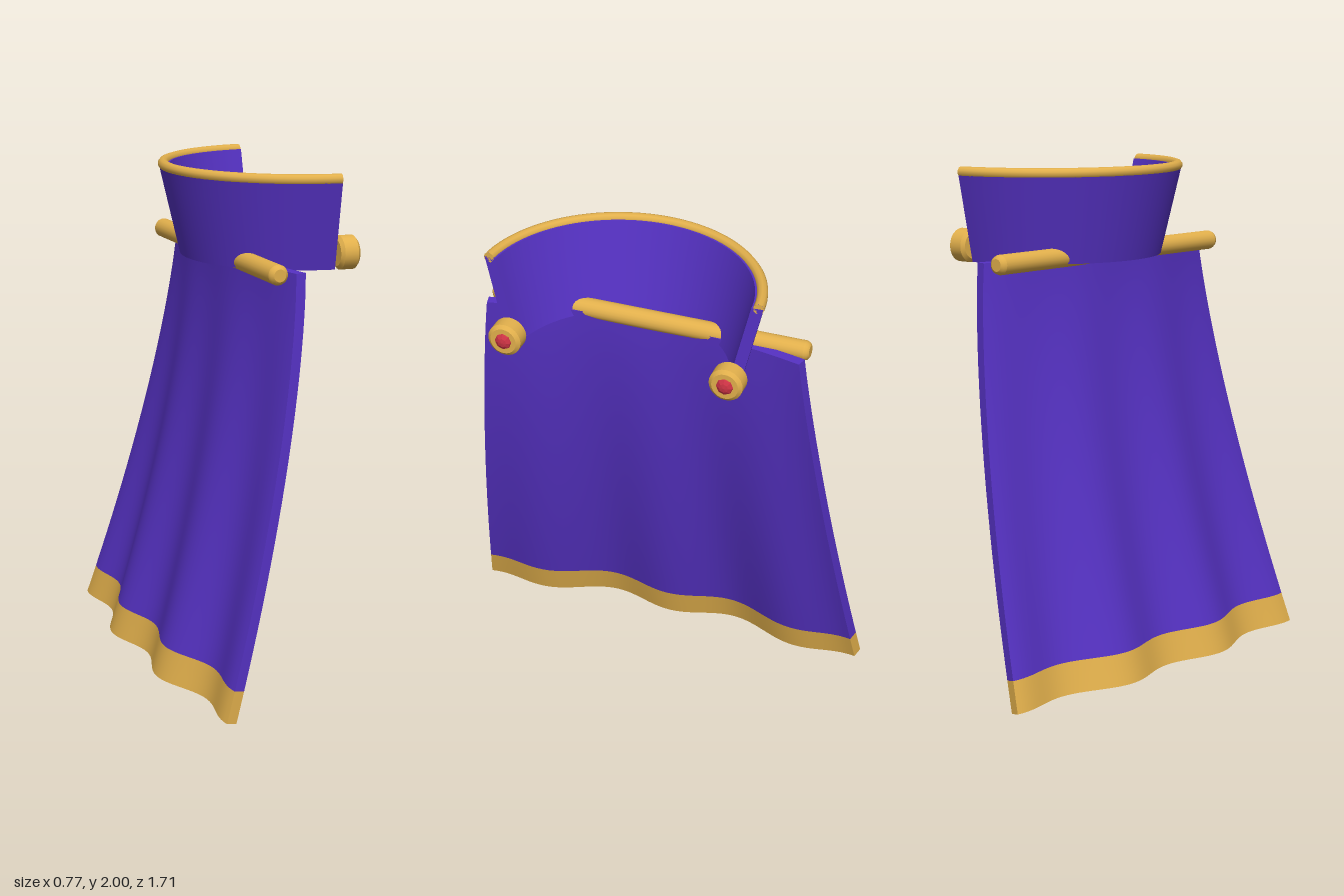
import * as THREE from 'three';

const material = (name, color) => {
  const m = new THREE.MeshStandardMaterial({ color });
  m.name = name;
  return m;
};

// Reshape a unit box by a rule; each box side keeps its own smooth normals.
function bentBox(segments, rule) {
  const g = new THREE.BoxGeometry(1, 1, 1, ...segments);
  const p = g.attributes.position;
  for (let i = 0; i < p.count; i++) {
    p.setXYZ(i, ...rule(p.getX(i) + 0.5, p.getY(i) + 0.5, p.getZ(i) * 2));
  }
  g.computeVertexNormals();
  return g;
}

// Solid turned from (radius, height) pairs, with crisp bevels.
function turned(pairs, sides) {
  const points = pairs.map(([r, y]) => new THREE.Vector2(r, y));
  return new THREE.LatheGeometry(points, sides);
}

export function createModel() {
  const model = new THREE.Group();
  const purple = material('purple cloth', 0x5632c4);
  const gold = material('gold', 0xe2b04c);
  const red = material('red gem', 0xcc3344);

  const add = (name, geometry, mat, parent = model) => {
    const mesh = new THREE.Mesh(geometry, mat);
    mesh.name = name;
    parent.add(mesh);
    return mesh;
  };

  // Cape: sweeps backwards, wraps the shoulders, folds deepen downwards.
  const capePanel = (t0, t1, rows) => bentBox([1, rows, 64], (front, up, s) => {
    const t = t1 + (t0 - t1) * up;
    const centre = -0.04 - 0.322 * Math.pow(t, 1.5);
    const fold = 0.033 * t * Math.cos(3 * Math.PI * s);
    return [
      centre + 0.083 * s * s + fold + 0.042 * front,
      1.652 * (1 - t) + 0.01 * t * (1 - front),
      s * (0.647 + 0.21 * t) * (1 - 0.015 * front),
    ];
  });
  const hemStart = 0.928;
  add('cape', capePanel(0, hemStart, 20), purple);
  add('capeHem', capePanel(hemStart, 1, 3), gold);

  // Standing collar: a flared arc, open at the front.
  const collarX = 0.317, halfAngle = 1.49;
  const arcPoint = (r, y, s) => [
    collarX - r * Math.cos(s * halfAngle), y, r * Math.sin(s * halfAngle),
  ];
  add('collar', bentBox([1, 4, 48], (inner, up, s) =>
    arcPoint(0.467 + 0.083 * up - 0.045 * inner, 1.625 + 0.355 * up, s)), purple);

  // Gold piping on the collar's upper edge, with closed ends.
  const rimPoints = [];
  for (let i = 0; i <= 32; i++) {
    rimPoints.push(new THREE.Vector3(...arcPoint(0.532, 1.979, i / 16 - 1)));
  }
  add('collarTrim', new THREE.TubeGeometry(
    new THREE.CatmullRomCurve3(rimPoints), 64, 0.021, 10), gold);
  for (const s of [-1, 1]) {
    const cap = add('collarTrimEnd', new THREE.CircleGeometry(0.021, 10), gold);
    cap.position.set(...arcPoint(0.532, 1.979, s));
    cap.rotation.y = Math.PI / 2 + s * (halfAngle - Math.PI / 2);
  }

  // Shoulder rod with bevelled ends.
  const rod = add('shoulderRod', turned([
    [0, -0.65], [0.024, -0.65], [0.024, -0.65], [0.034, -0.643], [0.039, -0.63], [0.039, -0.63],
    [0.039, 0.63], [0.039, 0.63], [0.034, 0.643], [0.024, 0.65], [0.024, 0.65], [0, 0.65],
  ], 20), gold);
  rod.rotation.x = Math.PI / 2;
  rod.position.set(-0.023, 1.649, 0);

  // Pair of round clasps with a faceted gem facing forward.
  for (const side of [1, -1]) {
    const clasp = new THREE.Group();
    clasp.name = side > 0 ? 'leftClasp' : 'rightClasp';
    clasp.position.set(0.333, 1.686, side * 0.441);
    clasp.rotation.z = -Math.PI / 2;
    add('claspDisc', turned([
      [0, -0.04], [0.052, -0.04], [0.052, -0.04], [0.066, -0.028], [0.066, -0.028],
      [0.066, 0.028], [0.066, 0.028], [0.052, 0.04], [0.052, 0.04], [0, 0.04],
    ], 24), gold, clasp);
    const gemShape = new THREE.SphereGeometry(0.036, 8, 6).toNonIndexed();
    gemShape.computeVertexNormals();
    const gem = add('claspGem', gemShape, red, clasp);
    gem.position.y = 0.034;
    gem.scale.y = 0.6;
    model.add(clasp);
  }

  return model;
}
